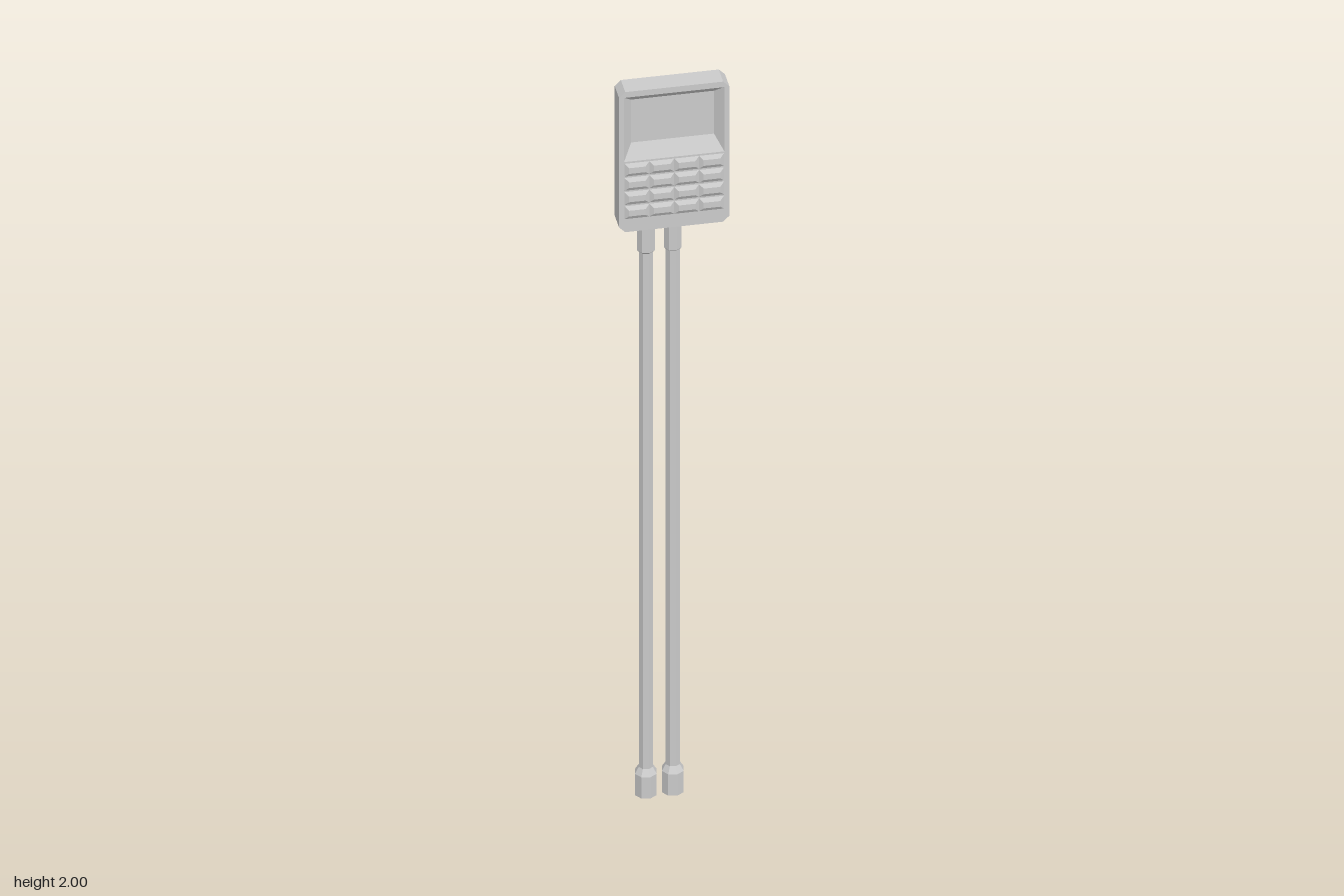
import * as THREE from 'three';

const material = new THREE.MeshStandardMaterial({ color: 0xcccccc, flatShading: true });

// Rectangle outline [x0, y0, x1, y1] as four corners, counter-clockwise from the front
const corners = ([x0, y0, x1, y1]) => [[x0, y0], [x1, y0], [x1, y1], [x0, y1]];

// Sloped walls from rectangle a to the smaller rectangle b, closed at b:
// raised where zb > za, sunken where zb < za
function frustum(a, za, b, zb) {
  const pos = [];
  for (const [x, y] of corners(a)) pos.push(x, y, za);
  for (const [x, y] of corners(b)) pos.push(x, y, zb);
  const index = [4, 5, 6, 4, 6, 7];
  for (let i = 0; i < 4; i++) {
    const j = (i + 1) % 4;
    index.push(i, j, j + 4, i, j + 4, i + 4);
  }
  const g = new THREE.BufferGeometry();
  g.setAttribute('position', new THREE.Float32BufferAttribute(pos, 3));
  g.setIndex(index);
  g.computeVertexNormals();
  return g;
}

// Case outline with cut corners
function caseShape() {
  const w = 0.133, y0 = 1.605, y1 = 2, c = 0.015;
  return new THREE.Shape([
    [-w + c, y0], [w - c, y0], [w, y0 + c], [w, y1 - c],
    [w - c, y1], [-w + c, y1], [-w, y1 - c], [-w, y0 + c],
  ].map(([x, y]) => new THREE.Vector2(x, y)));
}

export function createModel() {
  const group = new THREE.Group();
  const add = (name, geometry, parent = group) => {
    const mesh = new THREE.Mesh(geometry, material);
    mesh.name = name;
    parent.add(mesh);
    return mesh;
  };
  const back = -0.029, floor = 0.005, front = 0.025;

  // Case: solid back with a front frame around the screen opening
  const slab = (shape, z0, z1) =>
    new THREE.ExtrudeGeometry(shape, { depth: z1 - z0, bevelEnabled: false }).translate(0, 0, z0);
  const opening = [-0.121, 1.803, 0.121, 1.984];
  const frame = caseShape();
  frame.holes.push(new THREE.Path(corners(opening).reverse().map(([x, y]) => new THREE.Vector2(x, y))));
  add('caseBack', slab(caseShape(), back, floor - 0.002));
  add('caseFront', slab(frame, floor - 0.002, front));

  // Sunken screen with sloped surround
  add('screen', frustum(opening, front, [-0.1, 1.843, 0.1, 1.964], floor));

  // Keypad: four by four bevelled keys
  const keypad = new THREE.Group();
  keypad.name = 'keypad';
  group.add(keypad);
  const keyGeometry = frustum([-0.03, -0.018, 0.03, 0.018], 0, [-0.02, -0.008, 0.02, 0.008], 0.006);
  for (let row = 0; row < 4; row++) {
    for (let col = 0; col < 4; col++) {
      add('key', keyGeometry, keypad).position.set(-0.09 + col * 0.06, 1.78 - row * 0.04, front);
    }
  }

  // Two probes: hollow foot, long rod and a collar under the case
  const profile = [
    [0, 0.03], [0.019, 0.03], [0.019, 0], [0.028, 0], [0.028, 0.06], [0.018, 0.077],
    [0.018, 1.53], [0.023, 1.535], [0.023, 1.61],
  ].map(([r, y]) => new THREE.Vector2(r, y));
  const probeGeometry = new THREE.LatheGeometry(profile, 8).rotateY(0.2);
  for (const x of [-0.063, 0.002]) add('probe', probeGeometry).position.set(x, 0, -0.003);

  return group;
}
